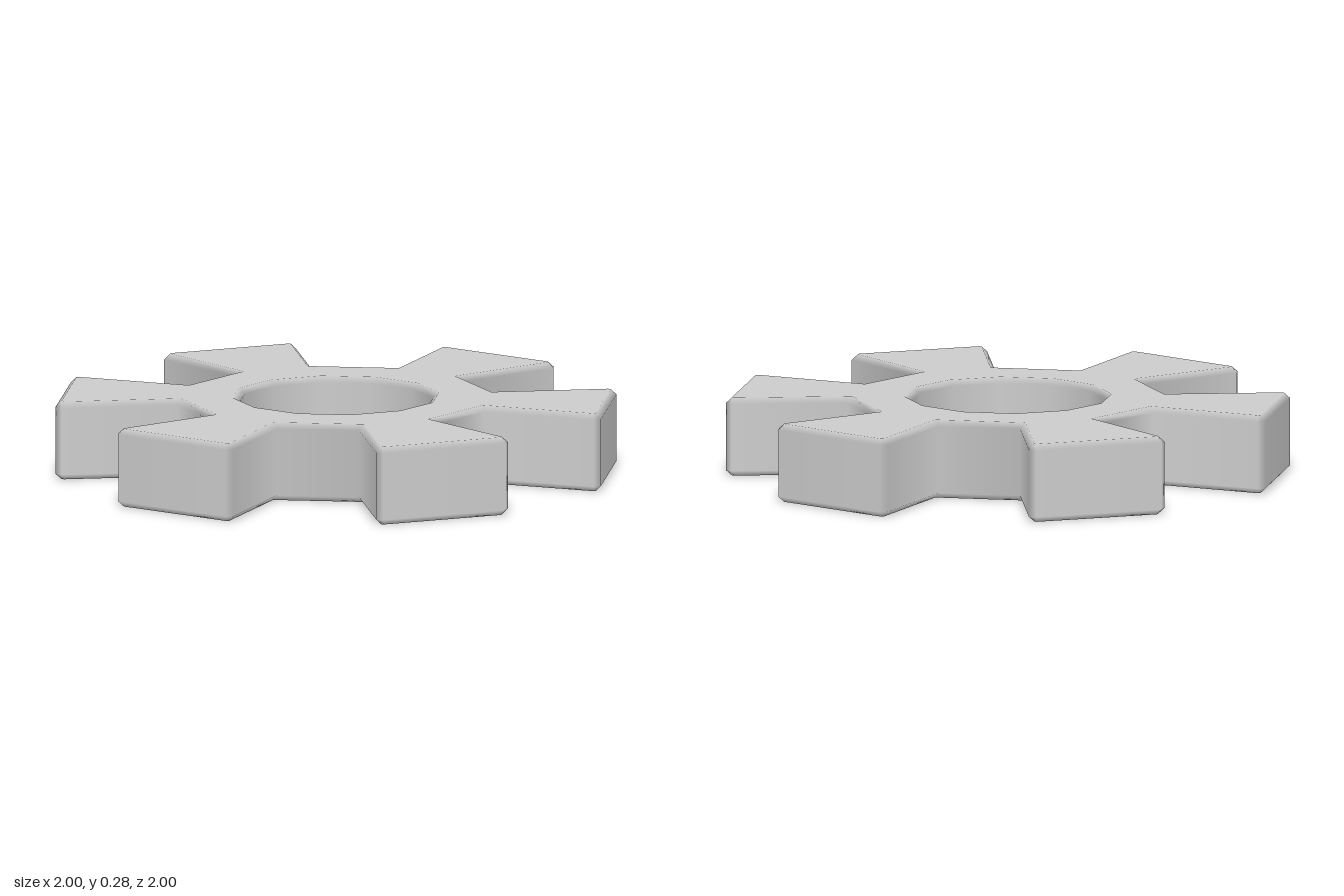
import * as THREE from 'three';

const HEIGHT = 0.28, BEVEL = 0.02, TIP = 1.006, ROOT = 0.567, BORE = 0.347, CHAMFER = 0.025;
const polar = (r, deg) => new THREE.Vector2(r, 0).rotateAround(new THREE.Vector2(), THREE.MathUtils.degToRad(deg));
const toward = (a, b, d) => a.clone().add(b.clone().sub(a).setLength(d));

// Flat caps, walls averaged by area, bevels blending between the two
function blendNormals(geometry) {
  const pos = geometry.attributes.position, normal = geometry.attributes.normal;
  const key = (p) => `${Math.round(p.x * 1e4)},${Math.round(p.z * 1e4)}`;
  const walls = new Map();
  const tri = new THREE.Triangle(), n = new THREE.Vector3();
  for (let i = 0; i < pos.count; i += 3) {
    tri.setFromAttributeAndIndices(pos, i, i + 1, i + 2);
    tri.getNormal(n);
    if (Math.abs(n.y) > 0.2) continue;
    n.multiplyScalar(tri.getArea());
    for (const p of [tri.a, tri.b, tri.c]) {
      if (!walls.has(key(p))) walls.set(key(p), new THREE.Vector3());
      walls.get(key(p)).add(n);
    }
  }
  const p = new THREE.Vector3();
  for (let i = 0; i < pos.count; i++) {
    p.fromBufferAttribute(pos, i);
    if (p.y < 1e-4) n.set(0, -1, 0);
    else if (p.y > HEIGHT - 1e-4) n.set(0, 1, 0);
    else n.copy(walls.get(key(p))).normalize();
    normal.setXYZ(i, n.x, n.y, n.z);
  }
}

export function createModel() {
  // Outline: six flaring teeth on alternate sides of a twelve-sided ring
  const outline = [];
  for (let a = 0; a < 360; a += 60) {
    const t0 = polar(TIP, a), t1 = polar(TIP, a + 30);
    const r0 = polar(ROOT, a), r1 = polar(ROOT, a + 30);
    outline.push(r0, toward(t0, r0, CHAMFER), toward(t0, t1, CHAMFER),
      toward(t1, t0, CHAMFER), toward(t1, r1, CHAMFER), r1);
  }
  const shape = new THREE.Shape(outline);

  // Twelve-sided bore
  const bore = [];
  for (let a = 360; a > 0; a -= 30) bore.push(polar(BORE, a));
  shape.holes.push(new THREE.Path(bore));

  // Extruded body with a narrow bevel on all rims
  let geometry = new THREE.ExtrudeGeometry(shape, {
    depth: HEIGHT - 2 * BEVEL, bevelEnabled: true, bevelSegments: 1,
    bevelSize: BEVEL, bevelThickness: BEVEL, bevelOffset: -BEVEL,
  });
  if (geometry.index) geometry = geometry.toNonIndexed();
  geometry.rotateX(-Math.PI / 2).translate(0, BEVEL, 0);
  blendNormals(geometry);

  const gear = new THREE.Mesh(geometry, new THREE.MeshStandardMaterial({ color: 0xcccccc }));
  gear.name = 'gearWheel';
  const group = new THREE.Group();
  group.name = 'gear';
  group.add(gear);
  return group;
}
